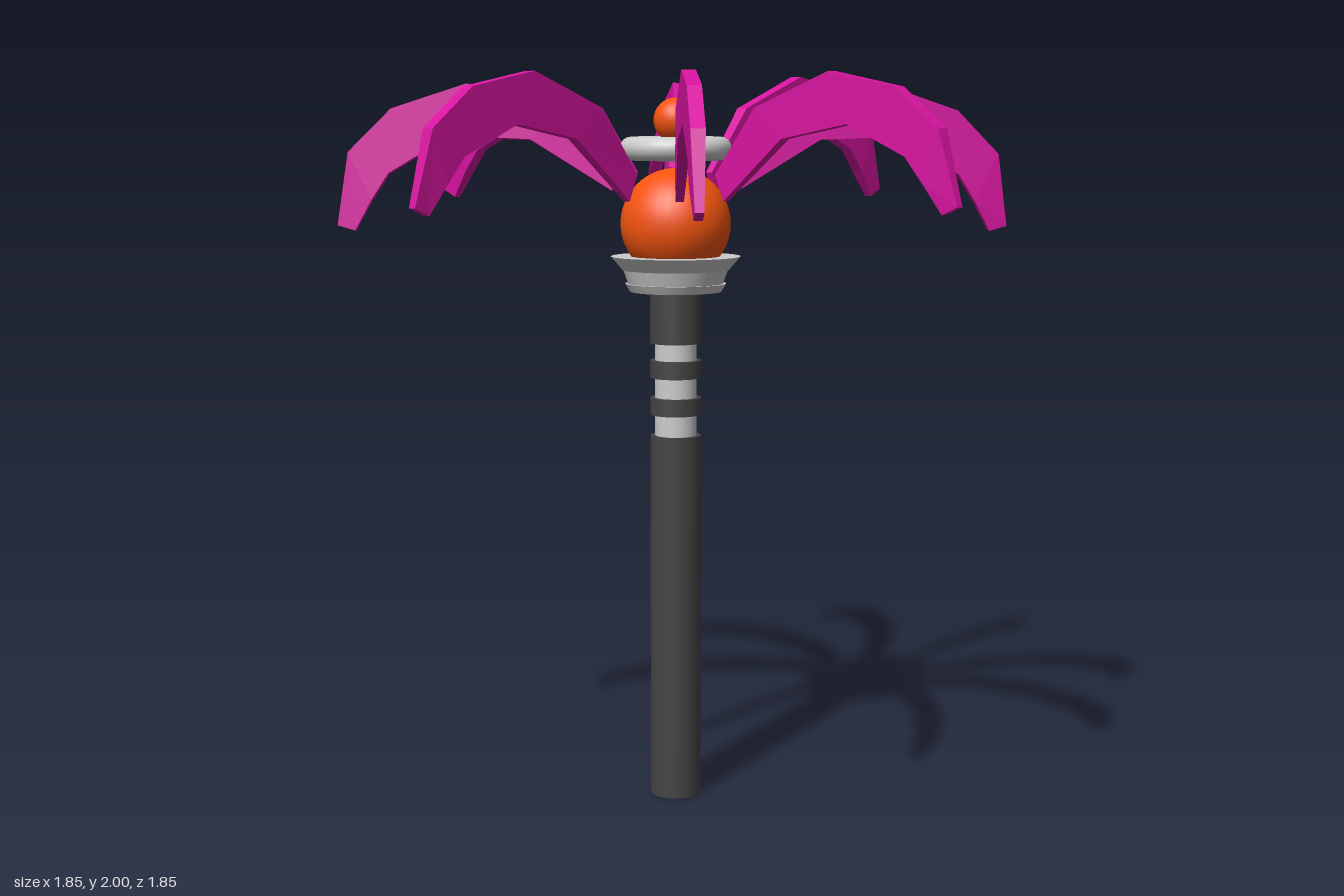
import * as THREE from 'three';

const mat = (color, extra = {}) => new THREE.MeshStandardMaterial({ color, ...extra });
const grey = mat(0xcccccc);
const dark = mat(0x444444);
const orange = mat(0xf5540f);
const magenta = mat(0xd814a0, { flatShading: true });

function add(parent, name, geometry, material, y = 0) {
  const mesh = new THREE.Mesh(geometry, material);
  mesh.name = name;
  mesh.position.y = y;
  parent.add(mesh);
  return mesh;
}

// Upright cylinder or cone section between two heights
function drum(parent, name, rBottom, rTop, y0, y1, material) {
  add(parent, name, new THREE.CylinderGeometry(rTop, rBottom, y1 - y0, 32), material, (y0 + y1) / 2);
}

// Blade stations from root to tip: upper x, y, lower x, y, half thickness
const STATIONS = [
  [0.15, 1.735, 0.18, 1.665, 0.011],
  [0.29, 1.91, 0.38, 1.83, 0.017],
  [0.53, 2.0, 0.59, 1.868, 0.018],
  [0.74, 1.96, 0.77, 1.79, 0.018],
  [0.87, 1.86, 0.825, 1.725, 0.018],
  [0.925, 1.67, 0.88, 1.65, 0.011],
];
const PIVOT = [0.35, 1.74];

// Curved blade lofted through four-cornered sections
function bladeGeometry() {
  const positions = [];
  const index = [];
  for (const [ux, uy, lx, ly, t] of STATIONS) {
    positions.push(ux, uy, t, ux, uy, -t, lx, ly, -t, lx, ly, t);
  }
  const quad = (a, b, c, d) => index.push(a, b, c, a, c, d);
  const last = (STATIONS.length - 1) * 4;
  for (let s = 0; s < last; s += 4) {
    for (let k = 0; k < 4; k++) {
      const n = (k + 1) % 4;
      quad(s + k, s + 4 + k, s + 4 + n, s + n);
    }
  }
  quad(0, 1, 2, 3);
  quad(last + 3, last + 2, last + 1, last);
  const geometry = new THREE.BufferGeometry();
  geometry.setAttribute('position', new THREE.Float32BufferAttribute(positions, 3));
  geometry.setIndex(index);
  geometry.translate(-PIVOT[0], -PIVOT[1], 0);
  const flat = geometry.toNonIndexed();
  flat.computeVertexNormals();
  return flat;
}

export function createModel() {
  const model = new THREE.Group();
  model.name = 'staff';

  // Shaft with a narrow banded neck
  drum(model, 'shaft', 0.07, 0.07, 0, 1.02, dark);
  drum(model, 'neck', 0.057, 0.057, 1.02, 1.28, grey);
  drum(model, 'lowerBand', 0.07, 0.07, 1.078, 1.125, dark);
  drum(model, 'upperBand', 0.07, 0.07, 1.18, 1.228, dark);
  drum(model, 'upperShaft', 0.07, 0.07, 1.275, 1.42, dark);

  // Stepped collar flaring upward
  drum(model, 'collarBase', 0.125, 0.138, 1.416, 1.438, grey);
  drum(model, 'collarMiddle', 0.13, 0.143, 1.438, 1.475, grey);
  drum(model, 'collarRim', 0.145, 0.177, 1.475, 1.512, grey);

  // Orb, floating ring and small orb above it
  add(model, 'orb', new THREE.SphereGeometry(0.15, 32, 24), orange, 1.6);
  const ring = new THREE.TorusGeometry(0.12, 0.032, 16, 40).rotateX(Math.PI / 2);
  add(model, 'ring', ring, grey, 1.802);
  add(model, 'topOrb', new THREE.SphereGeometry(0.06, 24, 16), orange, 1.878);

  // Blades: heading in degrees, downward pitch, roll, z shift
  const blades = [
    [0, 0, 0, -0.012],
    [46.3, 0.06, 0.2, 0],
    [90, 0, 0, 0],
    [133.5, 0.13, 0.1, 0],
    [180, 0, 0, -0.012],
    [225.5, 0, 0, 0],
    [270, 0, 0, 0],
    [316.7, 0.14, 0, 0],
  ];
  const geometry = bladeGeometry();
  blades.forEach(([heading, pitch, roll, dz], i) => {
    const arm = new THREE.Group();
    arm.name = `bladeArm${i + 1}`;
    arm.rotation.y = THREE.MathUtils.degToRad(heading);
    arm.position.z = dz;
    const blade = add(arm, `blade${i + 1}`, geometry, magenta, PIVOT[1]);
    blade.position.x = PIVOT[0];
    blade.rotation.set(roll, 0, -pitch);
    model.add(arm);
  });
  return model;
}
